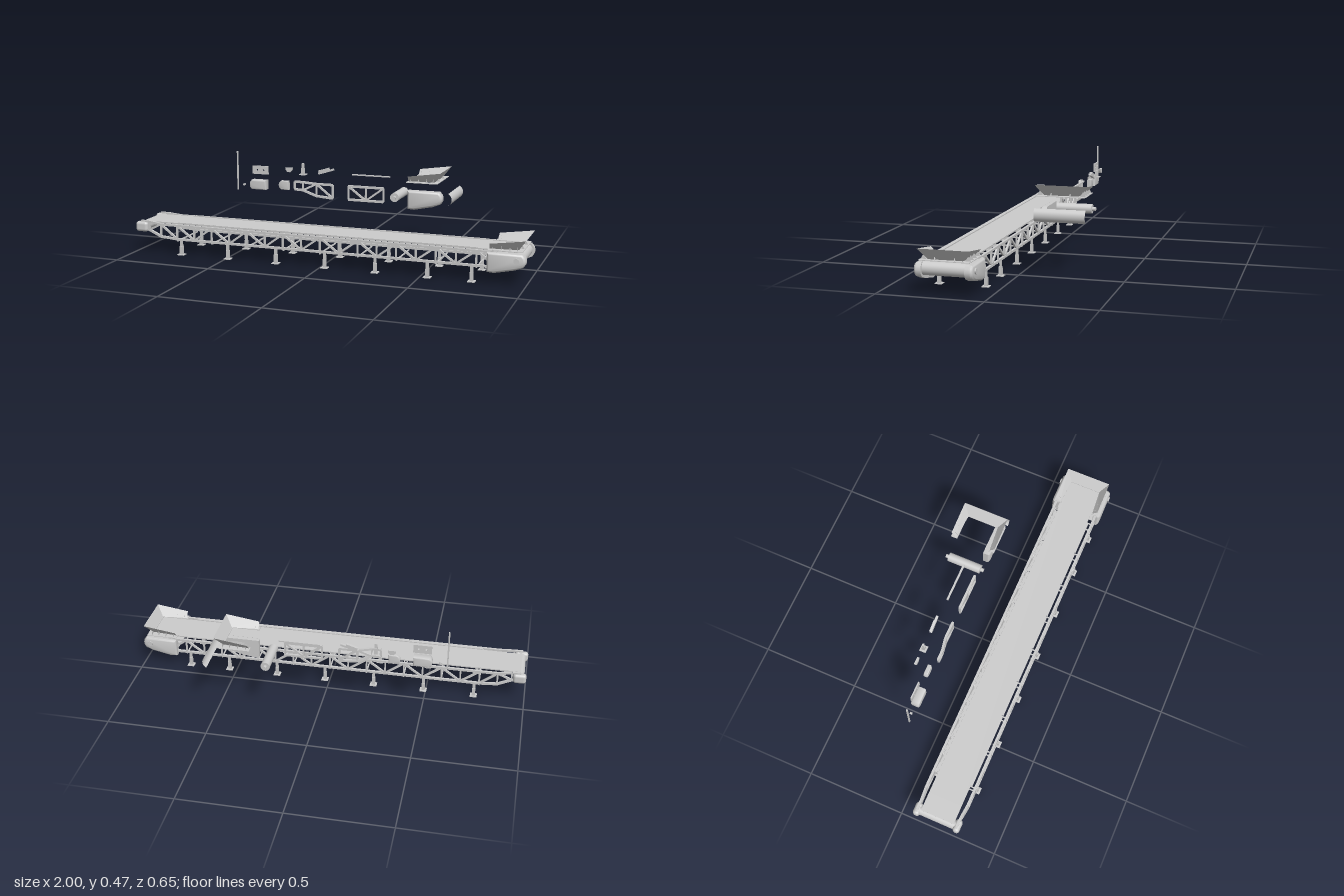
import * as THREE from 'three';
import { RoundedBoxGeometry } from 'three/addons/geometries/RoundedBoxGeometry.js';
import { toCreasedNormals } from 'three/addons/utils/BufferGeometryUtils.js';

const mat = new THREE.MeshStandardMaterial({ color: 0xcccccc });
const thin = new THREE.MeshStandardMaterial({ color: 0xcccccc, side: THREE.DoubleSide });

function add(parent, name, geo, x = 0, y = 0, z = 0, material = mat) {
  const m = new THREE.Mesh(geo, material);
  m.name = name;
  m.position.set(x, y, z);
  parent.add(m);
  return m;
}
const box = (p, name, w, h, d, x, y, z) => add(p, name, new THREE.BoxGeometry(w, h, d), x, y, z);

// cylinder lying along z
function drum(p, name, r, len, x, y, z, sides = 28) {
  return add(p, name, new THREE.CylinderGeometry(r, r, len, sides).rotateX(Math.PI / 2), x, y, z);
}

// bar between two [x, y, z] points
function bar(p, name, a, b, h = 0.011, d = 0.012) {
  const va = new THREE.Vector3(...a), vb = new THREE.Vector3(...b);
  const m = box(p, name, va.distanceTo(vb), h, d, 0, 0, 0);
  m.position.copy(va).add(vb).multiplyScalar(0.5);
  m.quaternion.setFromUnitVectors(new THREE.Vector3(1, 0, 0), vb.sub(va).normalize());
  return m;
}

// side profile in x,y extruded along z and centred on z = 0
function slab(points, depth, bevel = 0) {
  const s = new THREE.Shape(points.map(q => new THREE.Vector2(...q)));
  const g = new THREE.ExtrudeGeometry(s, {
    depth: depth - 2 * bevel, bevelEnabled: bevel > 0, bevelSize: bevel, bevelOffset: -bevel,
    bevelThickness: bevel, bevelSegments: 5
  }).translate(0, 0, -depth / 2 + bevel);
  return toCreasedNormals(g, 0.7);
}

function group(parent, name, x = 0, y = 0, z = 0) {
  const g = new THREE.Group();
  g.name = name;
  g.position.set(x, y, z);
  parent.add(g);
  return g;
}

// truss panel: rails, posts and diagonals, origin at lower left
function trussPanel(p, x, y, z, len, half = false) {
  const g = group(p, 'trussPanel', x, y, z), h = 0.07, m = half ? len : len / 2;
  bar(g, 'topRail', [0, h, 0], [len, h, 0]);
  bar(g, 'bottomRail', [0, 0, 0], [len, 0, 0]);
  for (const px of half ? [0, m] : [0, m, len]) bar(g, 'post', [px, 0, 0], [px, h, 0], 0.008, 0.009);
  bar(g, 'brace', [0, h, 0], [m, 0, 0], 0.01, 0.009);
  if (!half) bar(g, 'brace', [len, h, 0], [m, 0, 0], 0.01, 0.009);
}

// tapering truss at the tail, origin at lower right; out shifts its end sideways
function tailTruss(p, x, y, z, out) {
  const g = group(p, 'tailTruss', x, y, z);
  const top = [[-0.205, 0.078, out], [-0.16, 0.078, out], [-0.09, 0.07, 0], [0, 0.07, 0]];
  const low = [[-0.205, 0.038, out], [-0.16, 0.036, out], [-0.09, 0.007, 0], [0, 0, 0]];
  for (let i = 0; i < 4; i++) {
    bar(g, 'post', low[i], top[i], 0.009, 0.009);
    if (i < 3) {
      bar(g, 'topRail', top[i], top[i + 1]);
      bar(g, 'bottomRail', low[i], low[i + 1]);
    }
  }
  bar(g, 'brace', low[1], top[2], 0.01, 0.009);
  bar(g, 'brace', top[2], low[3], 0.01, 0.009);
}

function supportLeg(p, x, y, z, h) {
  const g = group(p, 'supportLeg', x, y, z);
  box(g, 'footPlate', 0.035, 0.004, 0.034, 0, 0.002, 0);
  box(g, 'legPost', 0.016, h * 0.6, 0.015, 0, h * 0.3, 0);
  box(g, 'legPin', 0.014, h * 0.42, 0.009, 0, h * 0.79, 0);
}

// discharge hopper: sloping walls round three sides, on a flange with gussets
function hopper(p, x, y, z) {
  const g = group(p, 'hopper', x, y, z), t = 0.003;
  const low = [[0.005, 0.002, -0.092], [0.138, 0.002, -0.08], [0.138, 0.002, 0.08], [0.005, 0.002, 0.092]];
  const top = [[0.008, 0.03, -0.117], [0.175, 0.054, -0.117], [0.175, 0.054, 0.117], [0.008, 0.03, 0.117]];
  const pos = [];
  for (let i = 0; i < 3; i++)
    for (const v of [low[i], low[i + 1], top[i + 1], low[i], top[i + 1], top[i]]) pos.push(...v);
  const geo = new THREE.BufferGeometry();
  geo.setAttribute('position', new THREE.Float32BufferAttribute(pos, 3));
  geo.computeVertexNormals();
  add(g, 'hopperWalls', geo, 0, 0, 0, thin);
  for (const s of [-1, 1]) {
    box(g, 'sideFlange', 0.15, t, 0.034, 0.075, 0, s * 0.101);
    for (const gx of [0.02, 0.06, 0.1, 0.135]) {
      const tri = new THREE.Shape([[0, 0], [0.028, 0], [0.014, 0.022]].map(q => new THREE.Vector2(...q)));
      const m = add(g, 'gusset', new THREE.ShapeGeometry(tri), gx, 0.001, s * 0.088, thin);
      m.rotation.y = -s * Math.PI / 2;
    }
    add(g, 'endGusset', slab([[0.138, 0], [0.158, 0], [0.148, 0.015]], t), 0, 0, s * 0.045);
  }
  box(g, 'endFlange', 0.025, t, 0.23, 0.148, 0, 0);
}

// head side cover: flat on the inner face, rounded on the outer one (out = +1 or -1 in z)
function headHousing(p, x, y, z, out) {
  const g = group(p, 'headHousing', x, y, z);
  const profile = [[0, 0.003], [0.035, 0], [0.13, 0.02], [0.17, 0.036], [0.18, 0.052],
    [0.182, 0.066], [0.178, 0.082], [0.165, 0.098], [0, 0.098]];
  add(g, 'roundedCover', slab(profile, 0.036, 0.0175));
  add(g, 'innerCover', slab(profile, 0.018), 0, 0, -out * 0.009);
}

function buildConveyor(root) {
  const c = group(root, 'conveyor', 0, 0, 0.187);
  // belt and end drums
  box(c, 'belt', 1.83, 0.006, 0.172, 0.04, 0.153, 0);
  bar(c, 'tailBelt', [-0.97, 0.152, 0], [-0.87, 0.153, 0], 0.006, 0.172);
  drum(c, 'tailDrum', 0.024, 0.19, -0.966, 0.13, 0);
  drum(c, 'headDrum', 0.031, 0.215, 0.958, 0.121, 0);
  box(c, 'headReturnBelt', 0.14, 0.004, 0.21, 0.888, 0.092, 0);
  hopper(c, 0.82, 0.158, 0);

  const pitch = 0.192, start = -0.768;
  for (const s of [-1, 1]) {
    const side = group(c, s > 0 ? 'frontSide' : 'backSide');
    const z = s * 0.111;
    for (let i = 0; i < 8; i++) {
      trussPanel(side, start + i * pitch, 0.079, z, pitch);
      box(side, 'skirtRail', pitch - 0.004, 0.006, 0.01, start + (i + 0.5) * pitch, 0.158, s * 0.09);
    }
    trussPanel(side, start + 8 * pitch, 0.079, z, pitch / 2, true);
    tailTruss(side, start, 0.079, z, -s * 0.006);
    for (const x of [-0.745, -0.488, -0.23, 0.025, 0.28, 0.537, 0.748]) supportLeg(side, x, 0, z, 0.076);
    // end housings
    add(side, 'tailHousing', new RoundedBoxGeometry(0.066, 0.052, 0.034, 4, 0.015), -0.967, 0.13, s * 0.105);
    headHousing(side, 0.818, 0.053, s * 0.117, s);
    drum(side, 'headBearingCap', 0.014, 0.012, 0.958, 0.121, s * 0.135, 6);
  }
  // cross members between the trusses
  for (let i = 0; i < 9; i++) {
    const x = start + i * pitch;
    box(c, 'lowerCrossBar', 0.006, 0.006, 0.222, x, 0.069, 0);
    box(c, 'upperCrossBar', 0.006, 0.006, 0.222, x, 0.147, 0);
  }
}

function buildSpareParts(root) {
  const p = group(root, 'spareParts');
  // tail end pieces
  box(p, 'verticalRod', 0.007, 0.205, 0.007, -0.617, 0.372, -0.115);
  drum(p, 'bolt', 0.006, 0.012, -0.583, 0.298, -0.12, 8);
  add(p, 'tailHousing', slab([[0.046, -0.025], [0.046, 0.025], [-0.035, 0.025], [-0.044, 0.014],
    [-0.046, 0], [-0.044, -0.014], [-0.035, -0.025]], 0.044, 0.007), -0.498, 0.304, -0.119);
  const plate = new THREE.Shape([[-0.045, -0.022], [0.045, -0.022], [0.045, 0.022], [-0.045, 0.022]]
    .map(q => new THREE.Vector2(...q)));
  for (const x of [-0.018, 0.018])
    plate.holes.push(new THREE.Path().absarc(x, 0, 0.005, 0, Math.PI * 2, true));
  add(p, 'mountingPlate', new THREE.ExtrudeGeometry(plate, { depth: 0.007, bevelEnabled: false }), -0.495, 0.378, -0.138);
  add(p, 'bearingHousing', slab([[0.029, -0.024], [0.029, 0.024], [-0.014, 0.024], [-0.025, 0.014],
    [-0.029, 0], [-0.025, -0.014], [-0.014, -0.024]], 0.022, 0.005), -0.361, 0.306, -0.133);
  add(p, 'bearingCap', slab([[-0.02, 0.011], [-0.018, -0.001], [-0.008, -0.012], [0.008, -0.012],
    [0.018, -0.001], [0.02, 0.011]], 0.012), -0.355, 0.378, -0.19);
  // spare leg, scraper and frames
  supportLeg(p, -0.276, 0.356, -0.19, 0.061);
  bar(p, 'scraperArm', [-0.19, 0.367, -0.192], [-0.105, 0.394, -0.192], 0.01, 0.012);
  bar(p, 'scraperBlock', [-0.187, 0.374, -0.192], [-0.13, 0.392, -0.192], 0.02, 0.014);
  tailTruss(p, -0.085, 0.255, -0.121, 0.014);
  trussPanel(p, 0, 0.255, -0.121, 0.188);
  box(p, 'skirtRail', 0.205, 0.006, 0.01, 0.1, 0.374, -0.186);
  // roller
  drum(p, 'roller', 0.023, 0.175, 0.248, 0.283, -0.203);
  drum(p, 'rollerShaft', 0.01, 0.208, 0.248, 0.283, -0.203, 16);
  // head end pieces
  headHousing(p, 0.318, 0.228, -0.115, 1);
  hopper(p, 0.32, 0.373, -0.192);
  const guard = new THREE.CylinderGeometry(0.035, 0.035, 0.24, 24, 1, true, 0.5, Math.PI - 1);
  add(p, 'headCurvedGuard', guard.rotateX(Math.PI / 2), 0.517, 0.295, -0.206, thin);
}

export function createModel() {
  const root = new THREE.Group();
  root.name = 'beltConveyor';
  buildConveyor(root);
  buildSpareParts(root);
  return root;
}
